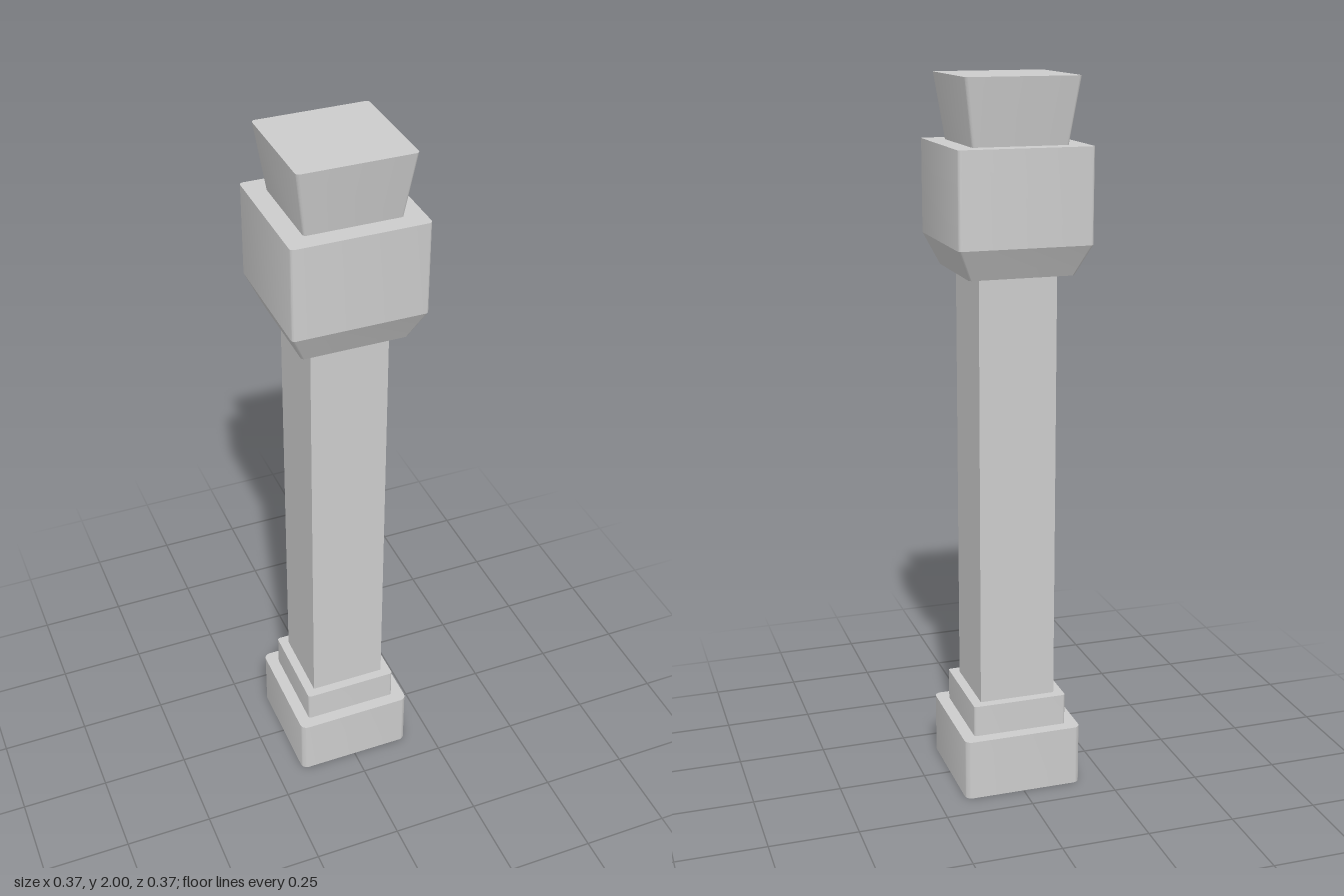
import * as THREE from 'three';
import { toCreasedNormals } from 'three/addons/utils/BufferGeometryUtils.js';

const material = new THREE.MeshStandardMaterial({ color: 0xcccccc });

// Square outline with rounded corners, h = half width, r = corner radius
function roundedSquare(h, r) {
  const s = new THREE.Shape();
  const c = h - r;
  s.absarc(c, c, r, 0, Math.PI / 2);
  s.absarc(-c, c, r, Math.PI / 2, Math.PI);
  s.absarc(-c, -c, r, Math.PI, Math.PI * 1.5);
  s.absarc(c, -c, r, Math.PI * 1.5, Math.PI * 2);
  s.closePath();
  return s;
}

// Upright square block from y0 to y1, half width running from h0 to h1
function block(name, y0, y1, h0, h1, r) {
  const height = y1 - y0;
  let geo;
  if (r > 0) {
    geo = new THREE.ExtrudeGeometry(roundedSquare(h0, r), {
      depth: height, bevelEnabled: false, curveSegments: 6,
    });
    geo.rotateX(-Math.PI / 2);
  } else {
    geo = new THREE.BoxGeometry(h0 * 2, height, h0 * 2).translate(0, height / 2, 0);
  }
  // Taper towards the top
  const p = geo.attributes.position;
  for (let i = 0; i < p.count; i++) {
    const k = 1 + (h1 / h0 - 1) * (p.getY(i) / height);
    p.setXYZ(i, p.getX(i) * k, p.getY(i) + y0, p.getZ(i) * k);
  }
  const mesh = new THREE.Mesh(toCreasedNormals(geo, 0.35), material);
  mesh.name = name;
  return mesh;
}

export function createModel() {
  const column = new THREE.Group();
  column.name = 'column';
  column.add(
    block('base', 0, 0.175, 0.171, 0.171, 0.02),
    block('baseStep', 0.175, 0.265, 0.136, 0.136, 0.008),
    block('shaft', 0.265, 1.483, 0.109, 0.109, 0),
    block('capitalFlare', 1.483, 1.567, 0.146, 0.185, 0.009),
    block('capital', 1.567, 1.823, 0.185, 0.185, 0.011),
    block('topBlock', 1.823, 2, 0.132, 0.157, 0.009),
  );
  return column;
}
